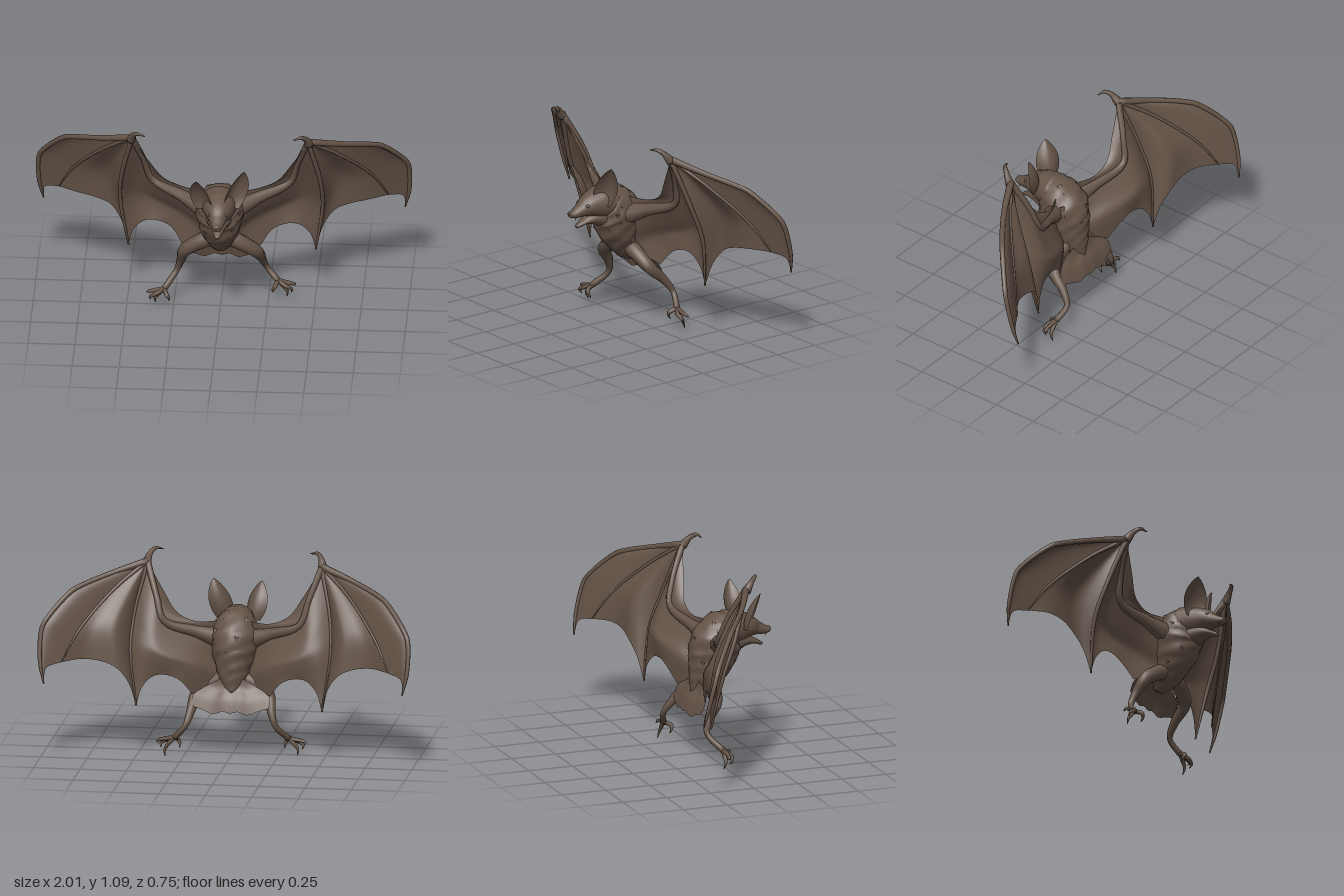
import * as THREE from 'three';

const V = (p) => new THREE.Vector3(p[0], p[1], p[2]);
const fur = new THREE.MeshStandardMaterial({ color: 0x635246, side: THREE.DoubleSide });
fur.name = 'dark brown fur';

function add(group, name, geometry) {
  const m = new THREE.Mesh(geometry, fur);
  m.name = name;
  group.add(m);
  return m;
}

function indexed(pos, idx) {
  const g = new THREE.BufferGeometry();
  g.setAttribute('position', new THREE.Float32BufferAttribute(pos, 3));
  g.setIndex(idx);
  g.computeVertexNormals();
  return g;
}

const path = (pts) => {
  const c = new THREE.CatmullRomCurve3(pts.map(V), false, 'centripetal');
  return (t) => c.getPoint(t);
};

// Tapered tube through stations [x, y, z, halfWidth, halfDepth]; rough adds shaggy ridges
function sweep(pts, { ref = [0.25, 0.2, 1], sides = 10, steps = 5, rough = 0 } = {}) {
  const curve = new THREE.CatmullRomCurve3(pts.map(V), false, 'centripetal');
  const n = (pts.length - 1) * steps, pos = [], idx = [];
  const ring = (t, scale) => {
    const c = curve.getPoint(t), tan = curve.getTangent(t);
    const side = V(ref).addScaledVector(tan, -V(ref).dot(tan)).normalize();
    const up = tan.clone().cross(side);
    const k = Math.min(Math.floor(t * (pts.length - 1)), pts.length - 2), f = t * (pts.length - 1) - k;
    const mix = (j) => THREE.MathUtils.lerp(pts[k][j] ?? pts[k][3], pts[k + 1][j] ?? pts[k + 1][3], f);
    for (let j = 0; j < sides; j++) {
      const a = (j / sides) * Math.PI * 2;
      const w = scale * (1 + rough * (Math.sin(a * 7 + t * 19) + Math.sin(a * 4 - t * 43)));
      const p = c.clone().addScaledVector(side, Math.cos(a) * mix(3) * w).addScaledVector(up, Math.sin(a) * mix(4) * w);
      pos.push(p.x, p.y, p.z);
    }
  };
  ring(0, 0.01);
  for (let i = 0; i <= n; i++) ring(i / n, 1);
  ring(1, 0.01);
  for (let i = 0; i < n + 2; i++) for (let j = 0; j < sides; j++) {
    const a = i * sides + j, b = i * sides + (j + 1) % sides;
    idx.push(a, b, b + sides, a, b + sides, a + sides);
  }
  return indexed(pos, idx);
}

// Grid surface from a point function of u and v
function sheet(fn, nu = 16, nv = 24) {
  const pos = [], idx = [];
  for (let i = 0; i <= nv; i++) for (let j = 0; j <= nu; j++) {
    const p = fn(j / nu, i / nv);
    pos.push(p.x, p.y, p.z);
    if (i < nv && j < nu) {
      const a = i * (nu + 1) + j, c = a + nu + 1;
      idx.push(a, c, a + 1, a + 1, c, c + 1);
    }
  }
  return indexed(pos, idx);
}

// Skin stretched between four edge curves, billowing backwards
function skin(left, right, top, bottom, sag) {
  const p00 = left(0), p01 = left(1), p10 = right(0), p11 = right(1);
  return sheet((u, v) => {
    const p = left(v).multiplyScalar(1 - u).addScaledVector(right(v), u)
      .addScaledVector(top(u), 1 - v).addScaledVector(bottom(u), v)
      .addScaledVector(p00, -(1 - u) * (1 - v)).addScaledVector(p10, -u * (1 - v))
      .addScaledVector(p01, -(1 - u) * v).addScaledVector(p11, -u * v);
    p.z -= sag * Math.sin(Math.PI * u) * Math.sin(Math.PI * v);
    return p;
  });
}

function wing(s) {
  const g = new THREE.Group();
  g.name = s > 0 ? 'leftWing' : 'rightWing';
  const m = (pts) => pts.map(([x, ...r]) => [x * s, ...r]);
  const bone = (name, pts) => add(g, name, sweep(m(pts), { sides: 8 }));
  const wrist = [0.47, 1.03, 0.06];
  const arm = [[0.08, 0.62, 0.06, 0.06], [0.2, 0.665, 0.01, 0.034], [0.365, 0.73, -0.05, 0.02], [0.41, 0.86, -0.02, 0.016], [...wrist, 0.018]];
  const inner = [[...wrist, 0.014], [0.53, 0.76, -0.03, 0.012], [0.54, 0.57, -0.1, 0.011], [0.5, 0.285, -0.15, 0.005]];
  const middle = [[...wrist, 0.012], [0.63, 0.9, -0.06, 0.009], [0.8, 0.7, -0.22, 0.007], [0.88, 0.545, -0.3, 0.003]];
  const lead = [[...wrist, 0.02], [0.65, 0.978, -0.033, 0.015], [0.8, 0.928, -0.135, 0.014], [0.85, 0.902, -0.175, 0.014],
    [0.965, 0.77, -0.28, 0.013], [0.987, 0.72, -0.305, 0.013], [0.988, 0.55, -0.35, 0.011], [0.965, 0.44, -0.37, 0.004]];
  bone('armBone', arm);
  bone('innerFinger', inner);
  bone('middleFinger', middle);
  bone('leadingFinger', lead);
  bone('thumbClaw', [[0.475, 1.02, 0.06, 0.026], [0.46, 1.065, 0.095, 0.015], [0.435, 1.087, 0.125, 0.01], [0.395, 1.08, 0.14, 0.002]]);
  const P = (pts) => path(m(pts)), hold = (p) => () => V(m([p])[0]);
  const flank = [[0.08, 0.62, 0.06], [0.095, 0.53, 0.03], [0.075, 0.435, 0.005], [0.12, 0.39, -0.025], [0.21, 0.34, -0.07]];
  const hem = [[0.21, 0.34, -0.07], [0.27, 0.42, -0.105], [0.34, 0.45, -0.115], [0.41, 0.445, -0.125], [0.47, 0.385, -0.14], [0.5, 0.285, -0.15]];
  const scallop = [[0.5, 0.285, -0.15], [0.54, 0.42, -0.175], [0.6, 0.5, -0.2], [0.68, 0.535, -0.205], [0.78, 0.55, -0.23], [0.88, 0.545, -0.3]];
  add(g, 'armMembrane', skin(P(flank), P(inner), P(arm), P(hem), 0.04));
  add(g, 'innerHandMembrane', skin(P(inner), P(middle), hold(wrist), P(scallop), 0.035));
  add(g, 'outerHandMembrane', skin(P(middle), P(lead), hold(wrist), P([[0.88, 0.545, -0.3], [0.955, 0.52, -0.345], [0.965, 0.44, -0.37]]), 0.015));
  const front = [[0.08, 0.72, 0.05], [0.2, 0.72, 0.01], [0.3, 0.765, 0.005], [0.375, 0.87, 0.03], wrist];
  add(g, 'shoulderMembrane', skin(P(front), P(arm), P([front[0], arm[0]]), hold(wrist), 0.01));
  return g;
}

// Legs are posed differently, with one foot trailing further back
const legPose = {
  1: [[0.03, 0.43, 0.01, 0.045], [0.11, 0.395, 0.01, 0.042], [0.19, 0.335, -0.012, 0.036], [0.215, 0.25, -0.095, 0.023], [0.238, 0.18, -0.138, 0.015], [0.3, 0.11, -0.115, 0.017]],
  '-1': [[-0.03, 0.43, 0.01, 0.045], [-0.11, 0.395, 0.01, 0.042], [-0.19, 0.335, -0.005, 0.036], [-0.215, 0.25, -0.055, 0.023], [-0.238, 0.18, -0.07, 0.015], [-0.3, 0.1, -0.005, 0.017]],
};

function leg(s) {
  const g = new THREE.Group(), pts = legPose[s];
  g.name = s > 0 ? 'leftLeg' : 'rightLeg';
  add(g, 'leg', sweep(pts));
  const [x, y, z] = pts[5];
  // Offsets of each toe tip from the ball of the foot
  for (const [dx, dy, dz] of [[0.05, 0.01 - y, -0.015], [0.09, -0.03, -0.01], [0.075, -0.06, 0.012], [-0.025, -0.06, 0.025]]) {
    add(g, 'toe', sweep([[x, y, z, 0.012], [x + s * dx * 0.55, y + dy * 0.3, z + dz + 0.015, 0.012],
      [x + s * dx, y + dy * 0.65, z + dz + 0.012, 0.008], [x + s * dx * 0.96, y + dy, z + dz, 0.002]], { sides: 7, steps: 4 }));
  }
  return g;
}

function ear(s, base, tip) {
  const side = new THREE.Vector3(s * 0.86, 0, -0.51), back = new THREE.Vector3(-s * 0.51, 0, -0.86);
  return sheet((u, t) => {
    const a = u * 2 - 1, w = 0.066 * Math.pow(Math.sin(Math.PI * (0.18 + 0.819 * t)), 0.75);
    return V(base).lerp(V(tip), t).addScaledVector(side, a * w).addScaledVector(back, w * 0.6 * (1 - a * a));
  }, 10, 14);
}

export function createModel() {
  const bat = new THREE.Group();
  bat.name = 'bat';

  // Shaggy torso
  const torso = sweep([[0, 0.73, 0.16, 0.07, 0.06], [0, 0.69, 0.11, 0.115, 0.105], [0, 0.62, 0.07, 0.13, 0.14], [0, 0.53, 0.043, 0.115, 0.133],
    [0, 0.45, 0.01, 0.09, 0.1], [0, 0.39, -0.02, 0.065, 0.068], [0, 0.34, -0.05, 0.025, 0.03]], { ref: [1, 0, 0], sides: 28, steps: 6, rough: 0.02 });
  add(bat, 'torso', torso);

  // Fur tufts lying close along the torso
  const p = torso.attributes.position, nrm = torso.attributes.normal, lie = new THREE.Vector3(0, -0.9, -0.35);
  for (let i = 28 * 6; i < 28 * 30; i += 17) {
    const n = new THREE.Vector3().fromBufferAttribute(nrm, i);
    const tuft = add(bat, 'furTuft', new THREE.ConeGeometry(0.014, 0.065, 8));
    tuft.position.fromBufferAttribute(p, i).addScaledVector(n, -0.009);
    tuft.quaternion.setFromUnitVectors(new THREE.Vector3(0, 1, 0), lie.clone().addScaledVector(n, 0.12 - n.dot(lie)).normalize());
  }

  // Head with an open mouth
  const X = { ref: [1, 0, 0], sides: 18 };
  add(bat, 'head', sweep([[0, 0.69, 0.06, 0.08, 0.06], [0, 0.69, 0.12, 0.105, 0.095], [0, 0.69, 0.19, 0.088, 0.09], [0, 0.685, 0.25, 0.068, 0.064],
    [0, 0.67, 0.3, 0.043, 0.038], [0, 0.657, 0.345, 0.031, 0.024], [0, 0.656, 0.375, 0.02, 0.015]], X));
  add(bat, 'lowerJaw', sweep([[0, 0.61, 0.15, 0.075, 0.07], [0, 0.612, 0.23, 0.05, 0.035], [0, 0.6, 0.285, 0.03, 0.015], [0, 0.58, 0.33, 0.013, 0.009]], X));
  add(bat, 'leftEar', ear(1, [0.072, 0.69, 0.215], [0.135, 0.915, 0.2]));
  add(bat, 'rightEar', ear(-1, [-0.08, 0.69, 0.225], [-0.115, 0.89, 0.28]));

  for (const s of [1, -1]) {
    add(bat, 'eye', new THREE.SphereGeometry(0.01, 10, 8)).position.set(s * 0.042, 0.698, 0.287);
    add(bat, 'nostril', new THREE.SphereGeometry(0.009, 10, 8)).position.set(s * 0.011, 0.66, 0.37);
    add(bat, 'fang', new THREE.ConeGeometry(0.005, 0.02, 6).rotateX(Math.PI)).position.set(s * 0.016, 0.632, 0.348);
    bat.add(wing(s), leg(s));
  }

  // Tail membrane between the legs
  const edge = (s) => path([[s * 0.05, 0.43, -0.05], [s * 0.14, 0.38, -0.045], [s * 0.205, 0.335, -0.07], [s * 0.207, 0.28, -0.095]]);
  const hem = path([-0.207, -0.15, -0.09, -0.04, 0, 0.04, 0.09, 0.15, 0.207].map((x, i) => [x, [0.28, 0.265, 0.243, 0.262, 0.25][Math.min(i, 8 - i)], -0.095 - 0.025 * (1 - (x / 0.207) ** 2)]));
  add(bat, 'tailMembrane', skin(edge(-1), edge(1), path([[-0.05, 0.43, -0.05], [0.05, 0.43, -0.05]]), hem, 0.015));
  return bat;
}
